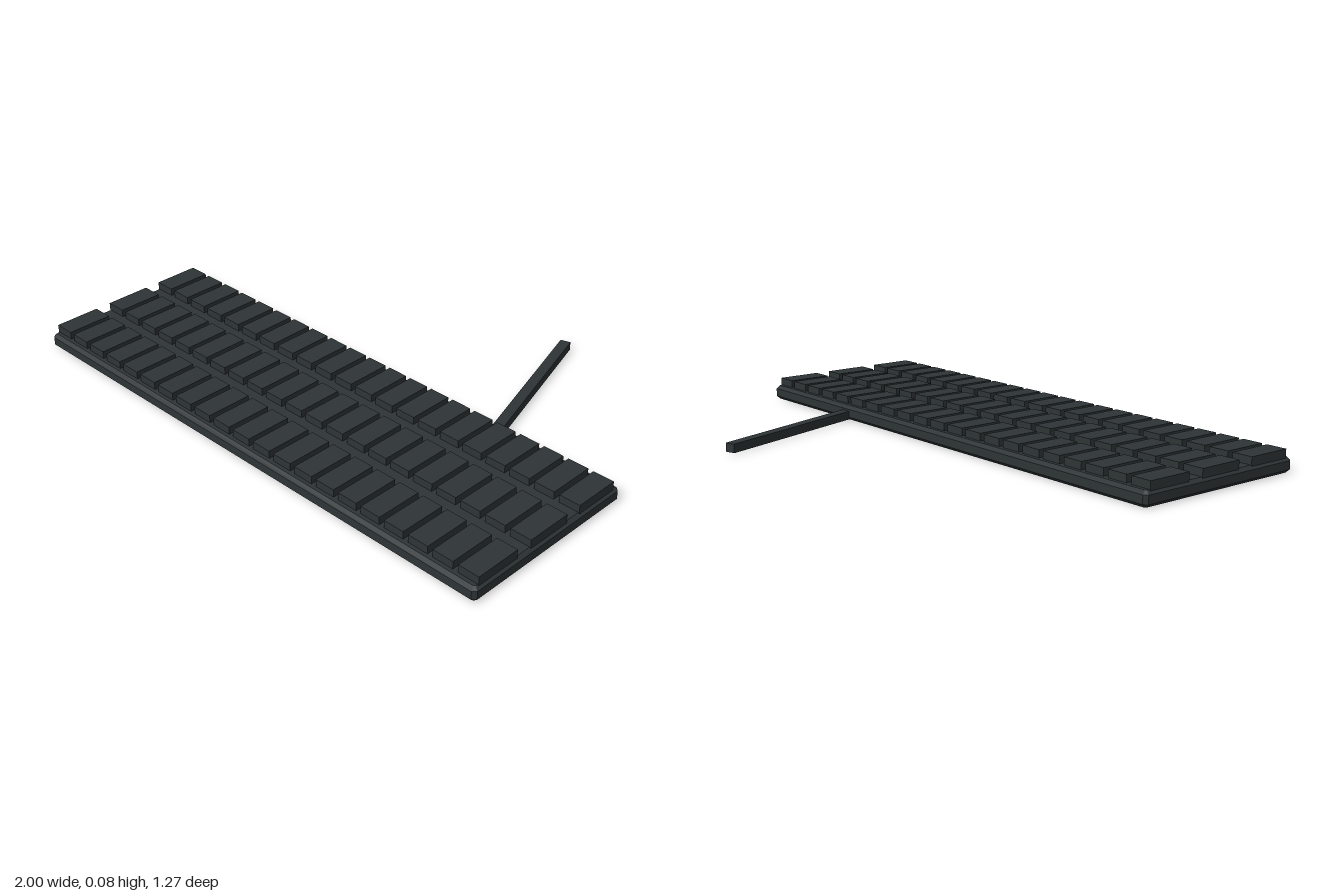
import * as THREE from 'three';

const charcoal = new THREE.MeshStandardMaterial({ color: 0x2e3436 });
charcoal.name = 'charcoal plastic';

function addMesh(parent, name, geometry, x = 0, y = 0, z = 0) {
  const mesh = new THREE.Mesh(geometry, charcoal);
  mesh.name = name;
  mesh.position.set(x, y, z);
  parent.add(mesh);
  return mesh;
}

// Slab with clipped corners and a chamfer along its top and bottom edges
function chamferedSlab(width, height, depth, bevel) {
  const w = width / 2, d = depth / 2, c = bevel;
  const outline = new THREE.Shape([
    [-w + c, -d], [w - c, -d], [w, -d + c], [w, d - c],
    [w - c, d], [-w + c, d], [-w, d - c], [-w, -d + c],
  ].map(([x, y]) => new THREE.Vector2(x, y)));
  const geometry = new THREE.ExtrudeGeometry(outline, {
    depth: height - 2 * bevel,
    bevelEnabled: true,
    bevelThickness: bevel,
    bevelSize: bevel,
    bevelOffset: -bevel,
    bevelSegments: 1,
  });
  return geometry.rotateX(-Math.PI / 2).translate(0, bevel, 0);
}

export function createModel() {
  const keyboard = new THREE.Group();
  keyboard.name = 'keyboard';

  // Case
  addMesh(keyboard, 'case', chamferedSlab(2, 0.053, 0.67, 0.012), 0, 0, 0.302);

  // Three rows of tall keys
  const keys = new THREE.Group();
  keys.name = 'keys';
  keyboard.add(keys);
  const keyGeometry = new THREE.BoxGeometry(0.076, 0.032, 0.167);
  const columns = 21, pitchX = 0.0954, pitchZ = 0.226;
  for (let row = 0; row < 3; row++) {
    for (let column = 0; column < columns; column++) {
      const x = (column - (columns - 1) / 2) * pitchX;
      addMesh(keys, 'key', keyGeometry, x, 0.064, 0.0765 + row * pitchZ);
    }
  }

  // Cable leaving the back edge at a slant
  const length = 0.66;
  const cableGeometry = new THREE.BoxGeometry(0.037, 0.031, length).translate(0, 0, -length / 2);
  const cable = addMesh(keyboard, 'cable', cableGeometry, 0.521, 0.0185, 0);
  cable.rotation.y = 0.297;

  return keyboard;
}
